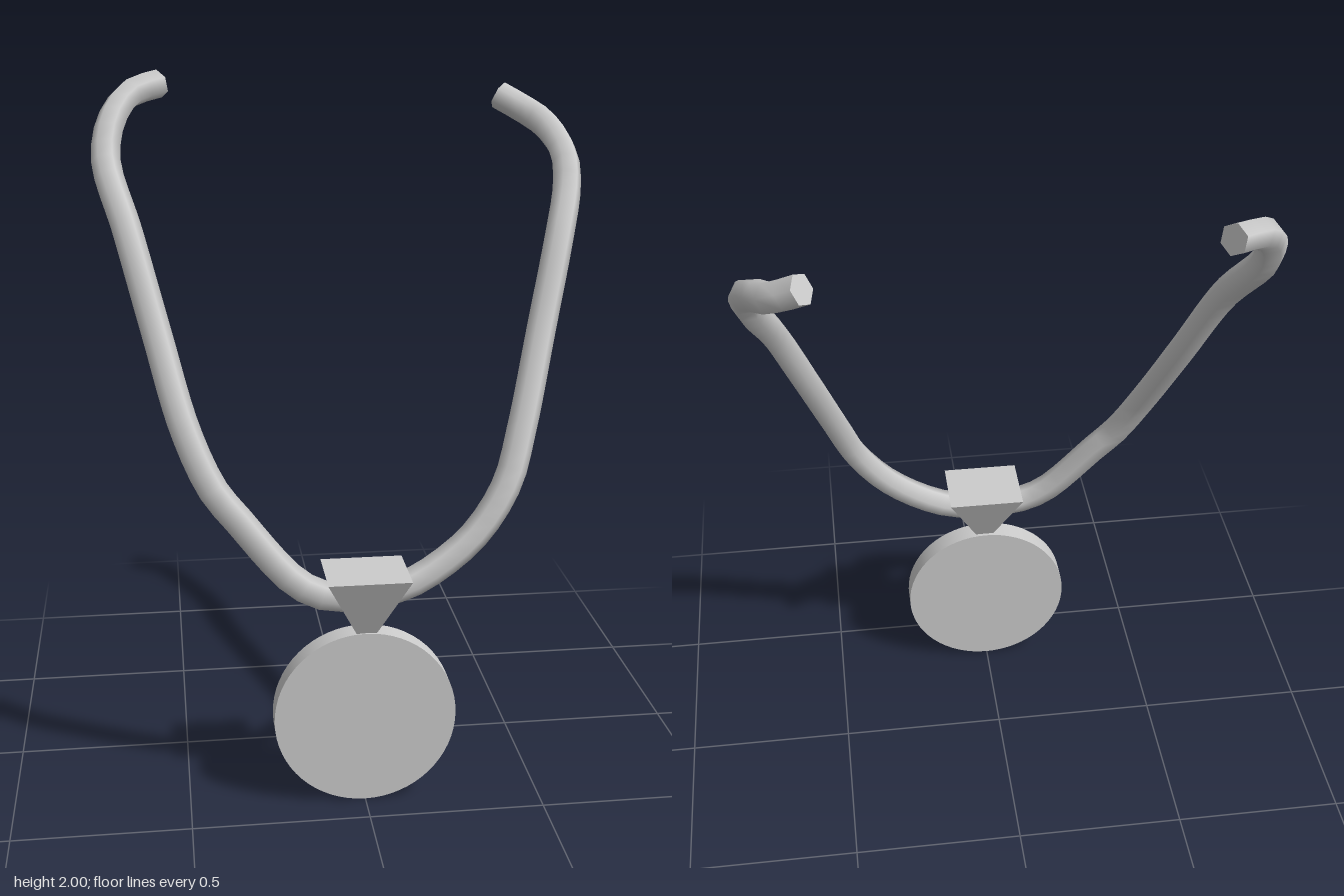
import * as THREE from 'three';

const material = new THREE.MeshStandardMaterial({ color: 0xcccccc });
const flat = new THREE.MeshStandardMaterial({ color: 0xcccccc, flatShading: true });
const SIDES = 6, RADIUS = 0.042;

function part(name, geometry, mat = material) {
  const mesh = new THREE.Mesh(geometry, mat);
  mesh.name = name;
  return mesh;
}

// Flat hexagonal end of the cord, facing outwards along the path
function cordEnd(curve, t) {
  const cap = part('cordEnd', new THREE.CircleGeometry(RADIUS, SIDES), flat);
  const outward = curve.getTangentAt(t).multiplyScalar(t === 0 ? -1 : 1);
  const frames = curve.computeFrenetFrames(72, false);
  const i = t === 0 ? 0 : 72;
  const x = frames.normals[i].clone();
  const y = new THREE.Vector3().crossVectors(outward, x);
  cap.quaternion.setFromRotationMatrix(new THREE.Matrix4().makeBasis(x, y, outward));
  cap.position.copy(curve.getPointAt(t));
  return cap;
}

export function createModel() {
  const model = new THREE.Group();
  model.name = 'medalNecklace';

  // Open neck cord, from the right end down to the holder and up to the left end
  const path = [
    [-0.515, 1.962, -0.41], [-0.60, 1.94, -0.345], [-0.655, 1.875, -0.265], [-0.675, 1.77, -0.18],
    [-0.62, 1.59, -0.03], [-0.55, 1.33, 0.11], [-0.48, 1.08, 0.245], [-0.41, 0.925, 0.305],
    [-0.35, 0.85, 0.325], [-0.20, 0.675, 0.36], [-0.12, 0.63, 0.372], [-0.02, 0.622, 0.37],
    [0.11, 0.64, 0.36], [0.21, 0.69, 0.35], [0.32, 0.78, 0.335], [0.41, 0.91, 0.305],
    [0.46, 1.05, 0.25], [0.54, 1.31, 0.12], [0.615, 1.55, -0.005], [0.66, 1.68, -0.11],
    [0.668, 1.76, -0.18], [0.64, 1.835, -0.30], [0.60, 1.87, -0.385], [0.52, 1.916, -0.435],
  ].map((p) => new THREE.Vector3(...p));
  const curve = new THREE.CatmullRomCurve3(path);
  model.add(part('cord', new THREE.TubeGeometry(curve, 72, RADIUS, SIDES)));
  model.add(cordEnd(curve, 0), cordEnd(curve, 1));

  // Tapered square holder gripping the cord
  const holderGeometry = new THREE.CylinderGeometry(0.5 * Math.SQRT2, 0.12 * Math.SQRT2, 0.18, 4);
  holderGeometry.rotateY(Math.PI / 4).scale(0.232, 1, 0.202);
  const holder = part('holder', holderGeometry, flat);
  holder.position.set(0.003, 0.605, 0.37);
  model.add(holder);

  // Round medal disc
  const medal = part('medal', new THREE.CylinderGeometry(0.259, 0.259, 0.065, 64).rotateX(Math.PI / 2));
  medal.position.set(0, 0.259, 0.367);
  model.add(medal);

  return model;
}
